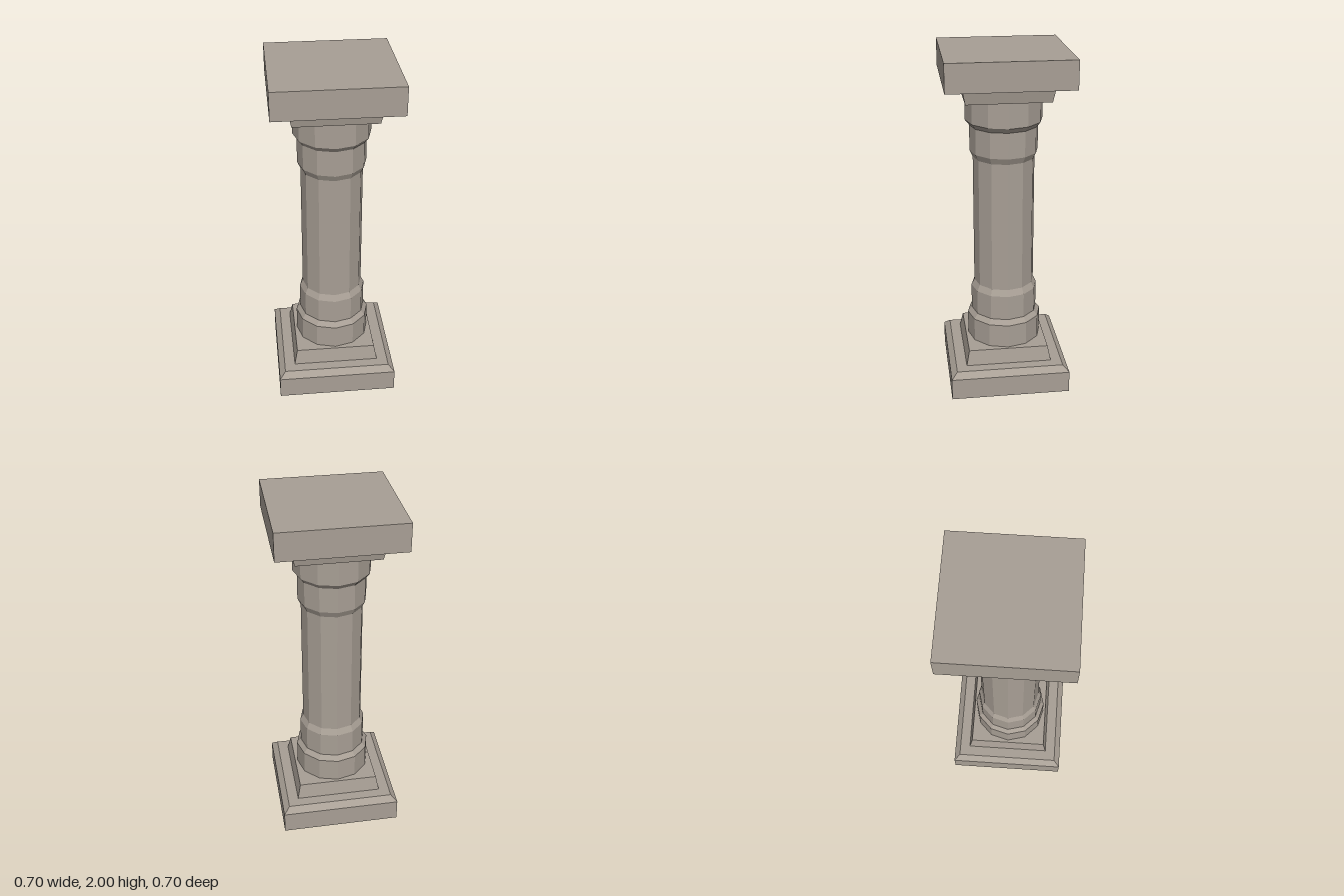
import * as THREE from 'three';

const stone = new THREE.MeshStandardMaterial({ color: 0xa89f95, flatShading: true });

// Faceted solid turned from [radius, height] pairs, listed bottom to top
function turned(name, profile, sides, start = 0) {
  const points = profile.map(([r, y]) => new THREE.Vector2(r, y));
  const mesh = new THREE.Mesh(new THREE.LatheGeometry(points, sides, start), stone);
  mesh.name = name;
  return mesh;
}

// Square block from [half width, height] pairs, capped at both ends
function squareBlock(name, profile) {
  const rings = profile.map(([h, y]) => [h * Math.SQRT2, y]);
  const closed = [[0, profile[0][1]], ...rings, [0, profile[profile.length - 1][1]]];
  return turned(name, closed, 4, Math.PI / 4);
}

export function createModel() {
  const column = new THREE.Group();
  column.name = 'column';

  // Base: chamfered plinth with a tapered step
  column.add(squareBlock('plinth', [[0.35, 0], [0.35, 0.13], [0.315, 0.163]]));
  column.add(squareBlock('baseStep', [[0.253, 0.163], [0.235, 0.253]]));

  // Twelve-sided shaft, its two stepped collars mirrored about mid height
  const lower = [[0.22, 0.25], [0.22, 0.395], [0.196, 0.425], [0.196, 0.575], [0.178, 0.612]];
  const upper = lower.map(([r, y]) => [r, 2 - y]).reverse();
  column.add(turned('shaft', [[0, 0.25], ...lower, ...upper, [0, 1.75]], 12));

  // Capital: tapered step under a square slab
  column.add(squareBlock('capitalStep', [[0.235, 1.75], [0.253, 1.84]]));
  column.add(squareBlock('topSlab', [[0.35, 1.84], [0.35, 2]]));

  return column;
}
